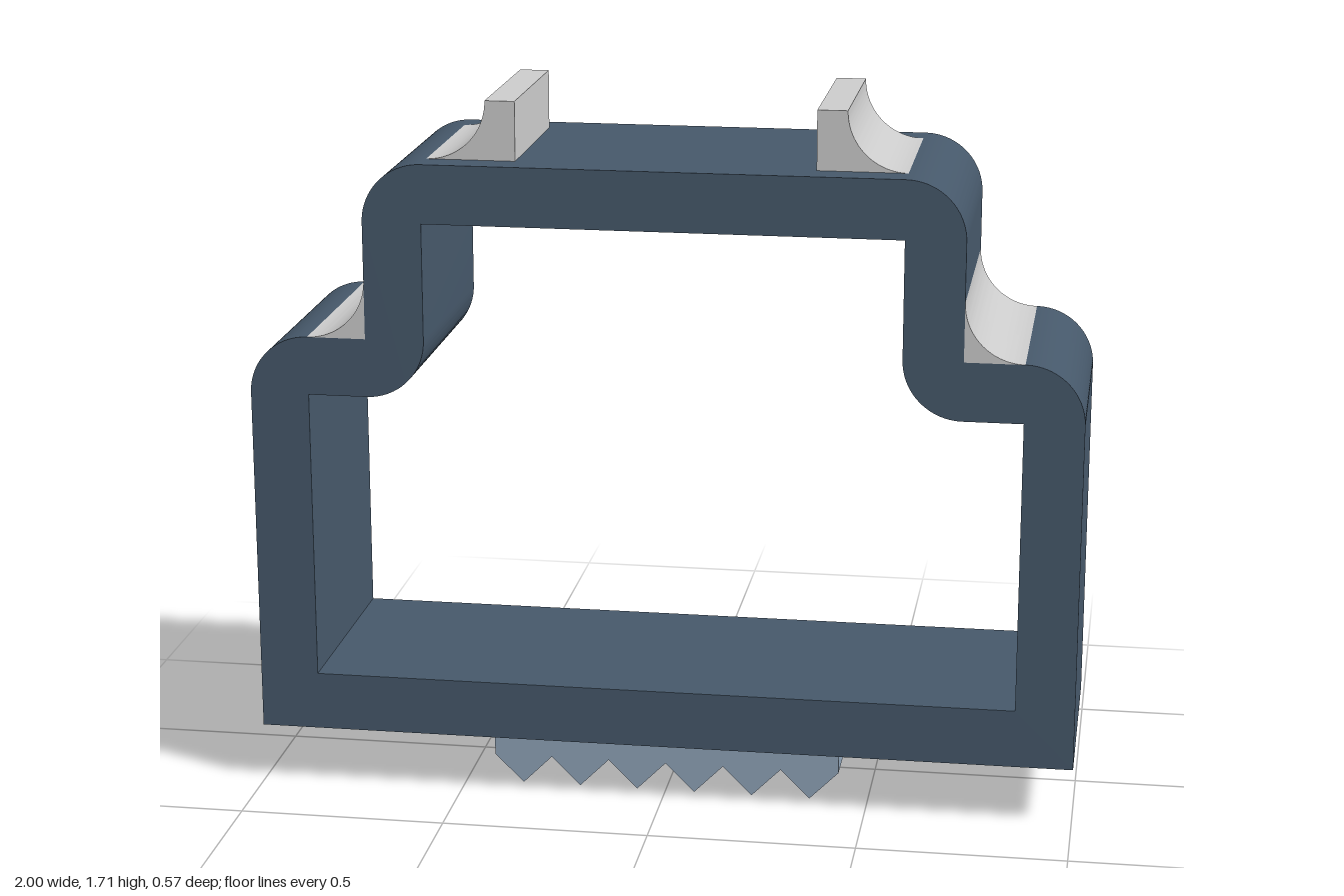
import * as THREE from 'three';
import { toCreasedNormals } from 'three/addons/utils/BufferGeometryUtils.js';

const U = 1 / 7; // module size: the body is 14 modules wide
const HALF_PI = Math.PI / 2;

const navy = new THREE.MeshStandardMaterial({ color: 0x46586a });
const blue = new THREE.MeshStandardMaterial({ color: 0x8fa3b8 });
const grey = new THREE.MeshStandardMaterial({ color: 0xcccccc });

// Extrude a profile drawn in modules, centred on z = 0
function extrude(name, shape, depth, material) {
  const geometry = new THREE.ExtrudeGeometry(shape, { depth, bevelEnabled: false, curveSegments: 24 });
  geometry.translate(0, 0, -depth / 2);
  geometry.scale(U, U, U);
  const mesh = new THREE.Mesh(toCreasedNormals(geometry, 0.4), material);
  mesh.name = name;
  return mesh;
}

// Stepped frame outline with rounded outer shoulders
function frameShape() {
  const s = new THREE.Shape();
  s.moveTo(-7, 1);
  s.lineTo(7, 1);
  s.lineTo(7, 7);
  s.absarc(6, 7, 1, 0, HALF_PI, false);
  s.lineTo(5, 8);
  s.lineTo(5, 10);
  s.absarc(4, 10, 1, 0, HALF_PI, false);
  s.lineTo(-4, 11);
  s.absarc(-4, 10, 1, HALF_PI, Math.PI, false);
  s.lineTo(-5, 8);
  s.lineTo(-6, 8);
  s.absarc(-6, 7, 1, HALF_PI, Math.PI, false);
  s.closePath();

  // Opening with rounded inner steps
  const h = new THREE.Path();
  h.moveTo(-6, 2);
  h.lineTo(6, 2);
  h.lineTo(6, 7);
  h.lineTo(5, 7);
  h.absarc(5, 8, 1, -HALF_PI, -Math.PI, true);
  h.lineTo(4, 10);
  h.lineTo(-4, 10);
  h.lineTo(-4, 8);
  h.absarc(-5, 8, 1, 0, -HALF_PI, true);
  h.lineTo(-6, 7);
  h.closePath();
  s.holes.push(h);
  return s;
}

// Concave fillet in the corner (x, y), with an upright of the given width behind it;
// side = 1 or -1 mirrors it in x
function filletShape(side, x, y, upright) {
  const s = new THREE.Shape();
  s.moveTo(side * (x - upright), y);
  s.lineTo(side * (x + 1), y);
  if (side > 0) s.absarc(x + 1, y + 1, 1, -HALF_PI, -Math.PI, true);
  else s.absarc(-x - 1, y + 1, 1, -HALF_PI, 0, false);
  if (upright) s.lineTo(side * (x - upright), y + 1);
  s.closePath();
  return s;
}

// Pad with a row of six triangular teeth underneath
function teethShape() {
  const s = new THREE.Shape();
  s.moveTo(-3, 1);
  s.lineTo(-3, 0.5);
  for (let x = -3; x < 3; x++) {
    s.lineTo(x + 0.5, 0);
    s.lineTo(x + 1, 0.5);
  }
  s.lineTo(3, 1);
  s.closePath();
  return s;
}

export function createModel() {
  const group = new THREE.Group();
  group.name = 'steppedFrame';
  group.add(extrude('frame', frameShape(), 4, navy));
  group.add(extrude('toothedPad', teethShape(), 3, blue));

  for (const [side, label] of [[1, 'left'], [-1, 'right']]) {
    group.add(extrude(label + 'ShoulderFillet', filletShape(side, 5, 8, 0), 4, grey));
    group.add(extrude(label + 'TopRib', filletShape(side, 3, 11, 0.5), 3, grey));
  }
  return group;
}
